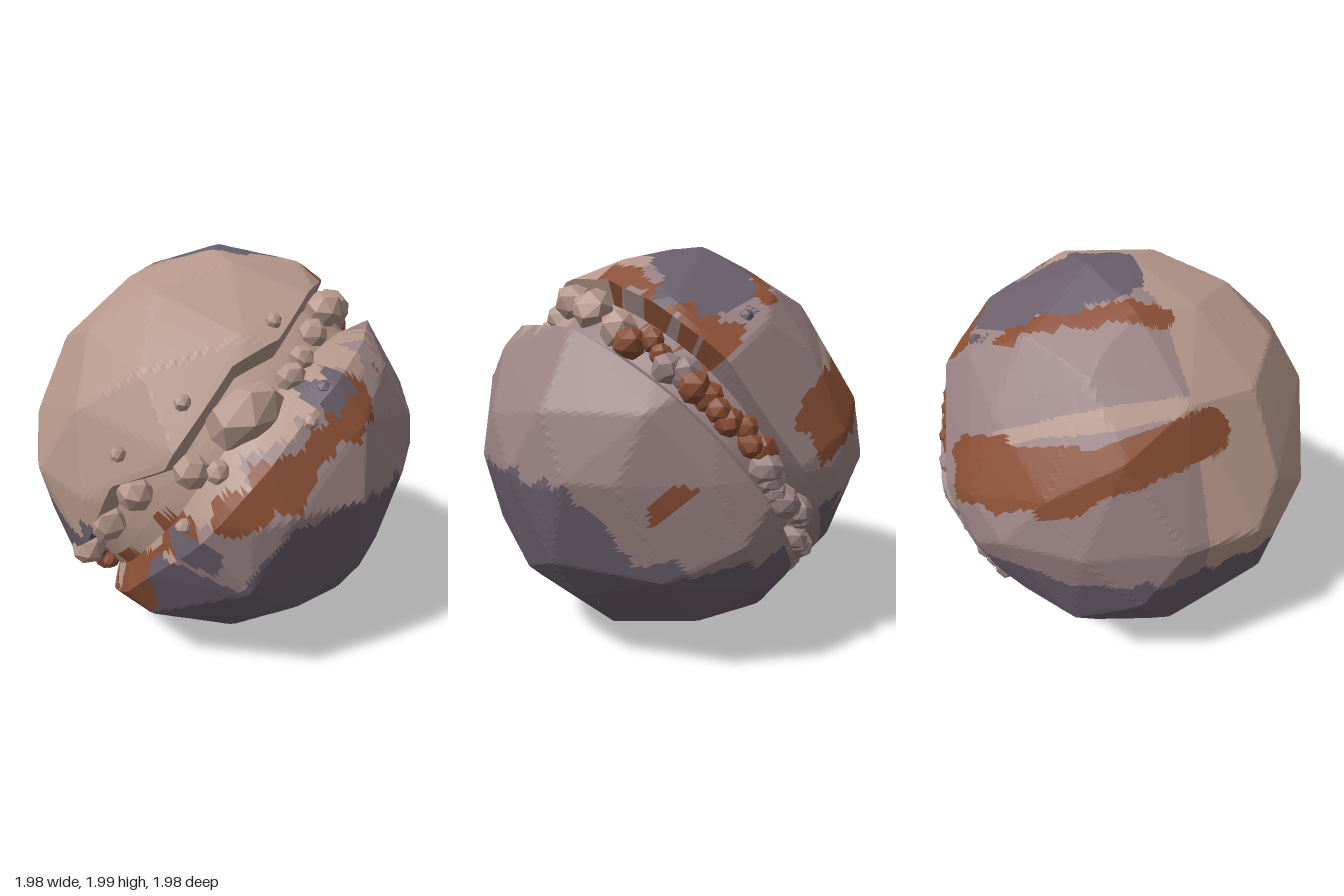
import * as THREE from 'three';
import { ConvexGeometry } from 'three/addons/geometries/ConvexGeometry.js';

const { lerp, mapLinear, smoothstep } = THREE.MathUtils;
const V = (x, y, z) => new THREE.Vector3(x, y, z);
let seed = 11;
const rand = () => (seed = (seed * 16807) % 2147483647) / 2147483647;
const span = (a, b) => a + (b - a) * rand();
const COLORS = { tan: 0xb5978a, mauve: 0x9b8384, slate: 0x6a5f6b, rust: 0x8a4f35 };
const MATS = {};
for (const k in COLORS) MATS[k] = new THREE.MeshStandardMaterial({ color: COLORS[k], flatShading: true, roughness: 0.9 });

// Axis of the tilted trench ring, with two directions across it
const N = V(-0.7, 0.62, -0.345).normalize();
const E1 = V(0, 0, 1).addScaledVector(N, -N.z).normalize();
const E2 = N.clone().cross(E1);
const dirAt = (t, lat) => N.clone().multiplyScalar(Math.sin(lat))
  .addScaledVector(E1, Math.cos(t) * Math.cos(lat)).addScaledVector(E2, Math.sin(t) * Math.cos(lat));

// Height interpolated round the ring; rows are x, y, z of a direction, then the latitude there
function lip(rows) {
  const k = rows.map(([x, y, z, l]) => [Math.atan2(V(x, y, z).dot(E2), V(x, y, z).dot(E1)), l]).sort((a, b) => a[0] - b[0]);
  const last = k[k.length - 1];
  const all = [[last[0] - 2 * Math.PI, last[1]], ...k, [k[0][0] + 2 * Math.PI, k[0][1]]];
  return t => {
    const u = Math.atan2(Math.sin(t), Math.cos(t));
    let i = 0;
    while (i < all.length - 2 && all[i + 1][0] < u) i++;
    return mapLinear(u, all[i][0], all[i + 1][0], all[i][1], all[i + 1][1]);
  };
}
const upperLip = lip([
  [-0.88, -0.4, 0.25, 0.2], [-0.7, -0.25, 0.65, 0.13], [-0.62, 0.1, 0.78, 0.21], [-0.35, 0.2, 0.91, 0.07],
  [-0.07, 0.63, 0.77, 0.16], [0.17, 0.69, 0.7, 0.09], [0.35, 0.85, 0.39, 0.15], [0.5, 0.85, 0, 0.17], [0.55, 0.55, -0.6, 0.17],
  [0.35, 0.1, -0.93, 0.13], [0.07, -0.4, -0.91, 0.09], [-0.4, -0.73, -0.5, 0.12], [-0.75, -0.65, 0, 0.17]]);
const lowerLip = lip([
  [-0.75, -0.6, 0.3, -0.11], [-0.4, -0.1, 0.9, -0.26], [0, 0.3, 0.95, -0.26], [0.45, 0.55, 0.7, -0.22],
  [0.72, 0.64, 0.2, -0.17], [0.75, 0.55, -0.2, -0.13], [0.6, 0.2, -0.75, -0.11], [0.2, -0.4, -0.9, -0.11], [-0.4, -0.8, -0.4, -0.09]]);
const ramp = lip([[-0.6, -0.4, 0.6, 0.08], [0, 0.3, 0.95, 0.2], [0.5, 0.6, 0.6, 0.14], [0.7, 0.6, 0, 0.04], [0, -0.6, -0.8, 0.04]]);

// Corners of the faceted globe on its three main outlines: x,y then z,y then x,z
const XY = [[-0.05, 1], [0.38, 0.93], [0.74, 0.66], [0.97, 0.29], [0.99, -0.05], [0.93, -0.4], [0.77, -0.62], [0.5, -0.86], [0.12, -0.99],
  [-0.37, -0.9], [-0.7, -0.7], [-0.93, -0.36], [-0.99, -0.07], [-0.96, 0.2], [-0.79, 0.58], [-0.46, 0.87]];
const ZY = [[-0.21, 1], [0.25, 0.96], [-0.6, 0.79], [-0.81, 0.5], [-0.98, 0.15], [-0.98, -0.13], [-0.85, -0.43], [-0.56, -0.81],
  [-0.23, -0.94], [0.15, -0.99], [0.4, -0.92], [0.7, -0.67], [0.93, -0.39], [0.99, -0.05], [0.89, 0.36], [0.68, 0.7]];
const XZ = [[-0.21, -0.99], [0.08, -0.97], [0.4, -0.88], [0.67, -0.68], [0.91, -0.35], [0.99, -0.13], [0.98, 0.2], [0.8, 0.56], [0.51, 0.86],
  [0.17, 0.99], [-0.29, 0.94], [-0.71, 0.67], [-0.94, 0.3], [-0.99, -0.17], [-0.85, -0.5], [-0.55, -0.84]];

// Faceted globe as a set of planes: outline corners, then an even spread between them
function facetPlanes() {
  const pts = [...XY.map(([x, y]) => V(x, y, 0)), ...ZY.map(([z, y]) => V(0, y, z)), ...XZ.map(([x, z]) => V(x, 0, z))];
  for (let i = 0; i < 90; i++) {
    const y = 1 - (i + 0.5) / 45, r = Math.sqrt(1 - y * y), a = i * 2.39996 + 0.5;
    const p = V(r * Math.cos(a), y, r * Math.sin(a)).setLength(span(0.99, 1.003));
    if (pts.every(q => q.distanceTo(p) > 0.26)) pts.push(p);
  }
  const pos = new ConvexGeometry(pts).attributes.position, planes = [];
  for (let i = 0; i < pos.count; i += 3) {
    const [a, b, c] = [0, 1, 2].map(k => V(0, 0, 0).fromBufferAttribute(pos, i + k));
    planes.push(new THREE.Plane().setFromCoplanarPoints(a, b, c));
  }
  return planes;
}

// Colour streaks: colour, start, end, half width
const STREAKS = [
  ['slate', V(0, 0.97, -0.2), V(0.3, 0.85, -0.4), 0.25], ['rust', V(0.48, 0.86, -0.08), V(0.5, 0.6, -0.6), 0.09],
  ['rust', V(-0.42, 0.88, -0.2), V(0.12, 0.8, -0.6), 0.06], ['rust', V(0.12, 0.24, -0.96), V(-0.46, 0.34, -0.82), 0.15],
  ['rust', V(-0.46, 0.34, -0.82), V(-0.8, 0.5, -0.3), 0.11], ['tan', V(-0.1, 0.45, -0.9), V(-0.75, 0.6, -0.25), 0.05],
  ['slate', V(0.3, 0.48, 0.82), V(0.4, 0.5, 0.77), 0.05], ['slate', V(-0.3, -0.2, 0.93), V(-0.2, -0.2, 0.95), 0.06],
  ['rust', V(0.55, 0.48, 0.68), V(0.2, 0.18, 0.96), 0.08], ['rust', V(0.2, 0.18, 0.96), V(-0.1, 0, 1), 0.09],
  ['rust', V(-0.3, -0.1, 0.94), V(-0.52, -0.38, 0.76), 0.06], ['rust', V(-0.52, -0.38, 0.76), V(-0.55, -0.65, 0.5), 0.1],
  ['rust', V(-0.5, -0.7, 0.48), V(-0.15, -0.97, 0.15), 0.1], ['rust', V(0.8, 0, -0.58), V(0.84, -0.1, -0.48), 0.08]];
function colorAt(d, lat, jag) {
  const q = V(0, 0, 0);
  for (const [c, a, b, w] of STREAKS) {
    new THREE.Line3(a, b).closestPointToPoint(d, true, q);
    if (q.normalize().distanceTo(d) < w + jag * 0.8) return c;
  }
  if (lat > 0.1) {
    if (d.y + jag < -0.2) return 'slate';
    return d.z + 0.5 * Math.max(0, -d.x - 0.3) + jag > -0.12 ? 'tan' : 'mauve';
  }
  const drop = Math.max(smoothstep(-d.z, 0.1, 0.4) * 0.36, smoothstep(-d.x, -0.3, 0.1) * 0.32);
  if (d.y + jag < -0.01 - drop && lat < -0.14) return 'slate';
  return lat > -0.22 + jag && d.z > 0.25 ? 'tan' : 'mauve';
}

// Globe surface: lower dome, ramp, trench floor, scarp and upper cap as rings round the axis
function globe() {
  const group = new THREE.Group();
  group.name = 'splitGlobe';
  const planes = facetPlanes();
  const radius = d => planes.reduce((r, p) => {
    const k = d.dot(p.normal);
    return k > 0.5 ? Math.min(r, -p.constant / k) : r;
  }, 2);
  const COLS = 240, HALF = 44, FLOOR = 0.85, STEP = 3;
  const spikes = Array.from({ length: COLS / STEP }, () => span(-0.11, 0.11));
  const grid = [];
  for (let i = 0; i <= COLS; i++) {
    const t = (i % COLS) / COLS * 2 * Math.PI, up = upperLip(t), lo = lowerLip(t), rw = ramp(t);
    const col = [];
    const add = (lat, sink) => {
      const d = dirAt(t, lat);
      col.push({ d, lat, p: d.clone().multiplyScalar(lerp(radius(d), FLOOR, sink)) });
    };
    for (let j = 0; j <= HALF; j++) add(lerp(-Math.PI / 2, lo, j / HALF), 0);
    for (let j = 1; j <= 4; j++) add(lo + rw * j / 4, j / 4);
    for (let j = 1; j <= 3; j++) add(lerp(lo + rw, up - 0.02, j / 3), 1);
    for (let j = 0; j <= HALF; j++) add(lerp(up, Math.PI / 2, j / HALF), 0);
    grid.push(col);
  }
  const bins = { tan: [], mauve: [], slate: [], rust: [] };
  const face = (a, b, c, jag) => {
    const mid = a.d.clone().add(b.d).add(c.d).normalize(), lat = (a.lat + b.lat + c.lat) / 3;
    const out = bins[colorAt(mid, lat, jag * Math.cos(lat) ** 2)];
    for (const v of [a, b, c]) out.push(v.p.x, v.p.y, v.p.z);
  };
  const rows = grid[0].length - 1;
  for (let i = 0; i < COLS; i++) {
    const k = Math.floor(i / STEP), jag = lerp(spikes[k], spikes[(k + 1) % spikes.length], (i % STEP) / STEP);
    for (let j = 0; j < rows; j++) {
      const a = grid[i][j], b = grid[i + 1][j], c = grid[i + 1][j + 1], d = grid[i][j + 1];
      if (j > 0) face(a, b, c, jag);
      if (j < rows - 1) face(a, c, d, jag);
    }
  }
  for (const k in bins) {
    const g = new THREE.BufferGeometry().setAttribute('position', new THREE.Float32BufferAttribute(bins[k], 3));
    g.computeVertexNormals();
    const m = new THREE.Mesh(g, MATS[k]);
    m.name = k + 'Surface';
    group.add(m);
  }
  return group;
}

// Irregular faceted stone
function stone(name, at, r, color, stretch = 1) {
  const pts = [];
  for (let i = 0; i < 20; i++) {
    const y = 1 - (i + 0.5) / 10, q = Math.sqrt(1 - y * y), a = i * 2.4 + span(0, 0.5);
    pts.push(V(q * Math.cos(a), y, q * Math.sin(a)).multiplyScalar(r * span(0.95, 1.06)));
  }
  const m = new THREE.Mesh(new ConvexGeometry(pts), MATS[color]);
  m.name = name;
  m.position.copy(at);
  m.scale.x = stretch;
  m.rotation.z = 0.65;
  return m;
}

export function createModel() {
  const body = new THREE.Group();
  body.name = 'crackedBoulderGlobe';
  body.add(globe());
  // Large stones in the front of the trench: x, y, z, radius, stretch
  const large = [
    [-0.73, -0.42, 0.36, 0.085, 1], [-0.61, -0.14, 0.63, 0.09, 1], [-0.48, 0.04, 0.73, 0.085, 1], [-0.24, 0.17, 0.83, 0.08, 1],
    [-0.01, 0.39, 0.77, 0.13, 1.4], [0.2, 0.52, 0.67, 0.06, 1.2], [0.27, 0.58, 0.58, 0.06, 1], [0.35, 0.65, 0.43, 0.075, 1],
    [0.45, 0.73, 0.25, 0.095, 1], [0.54, 0.7, 0.06, 0.1, 1], [0.6, 0.62, -0.14, 0.09, 1], [-0.13, 0.17, 0.85, 0.055, 1]];
  large.forEach(([x, y, z, r, s]) => body.add(stone('trenchBoulder', V(x, y, z), r, 'tan', s)));
  // Chain of smaller stones round the rest of the trench
  const path = new THREE.CatmullRomCurve3([
    V(0.6, 0.57, -0.24), V(0.59, 0.47, -0.4), V(0.56, 0.36, -0.55), V(0.48, 0.22, -0.69), V(0.41, 0.08, -0.79), V(0.23, -0.22, -0.85),
    V(-0.11, -0.57, -0.69), V(-0.36, -0.68, -0.48), V(-0.63, -0.63, -0.07), V(-0.68, -0.56, 0.17), V(-0.71, -0.47, 0.28)]);
  for (let i = 0; i < 44; i++) {
    const p = path.getPointAt(i / 43).normalize().addScaledVector(N, span(-0.05, 0.05)).multiplyScalar(span(0.86, 0.9));
    const rusty = (p.y > 0.1 && rand() < 0.6) || (p.x < -0.5 && rand() < 0.4);
    body.add(stone('trenchStone', p, span(0.055, 0.08), rusty ? 'rust' : 'mauve', span(1, 1.15)));
  }
  // Loose pebbles lying on the surface
  const pebbles = [
    [0.14, 0.75, 0.6, 'tan'], [-0.27, 0.47, 0.82, 'tan'], [-0.54, 0.24, 0.77, 'tan'], [0.26, 0.37, 0.83, 'tan'],
    [-0.28, -0.07, 0.86, 'tan'], [0.32, 0.67, -0.62, 'slate'], [0.34, 0.48, 0.72, 'slate'], [-0.62, -0.45, 0.45, 'rust']];
  pebbles.forEach(([x, y, z, c]) => body.add(stone('pebble', V(x, y, z), 0.037, c)));
  body.position.y = 1;
  return body;
}
